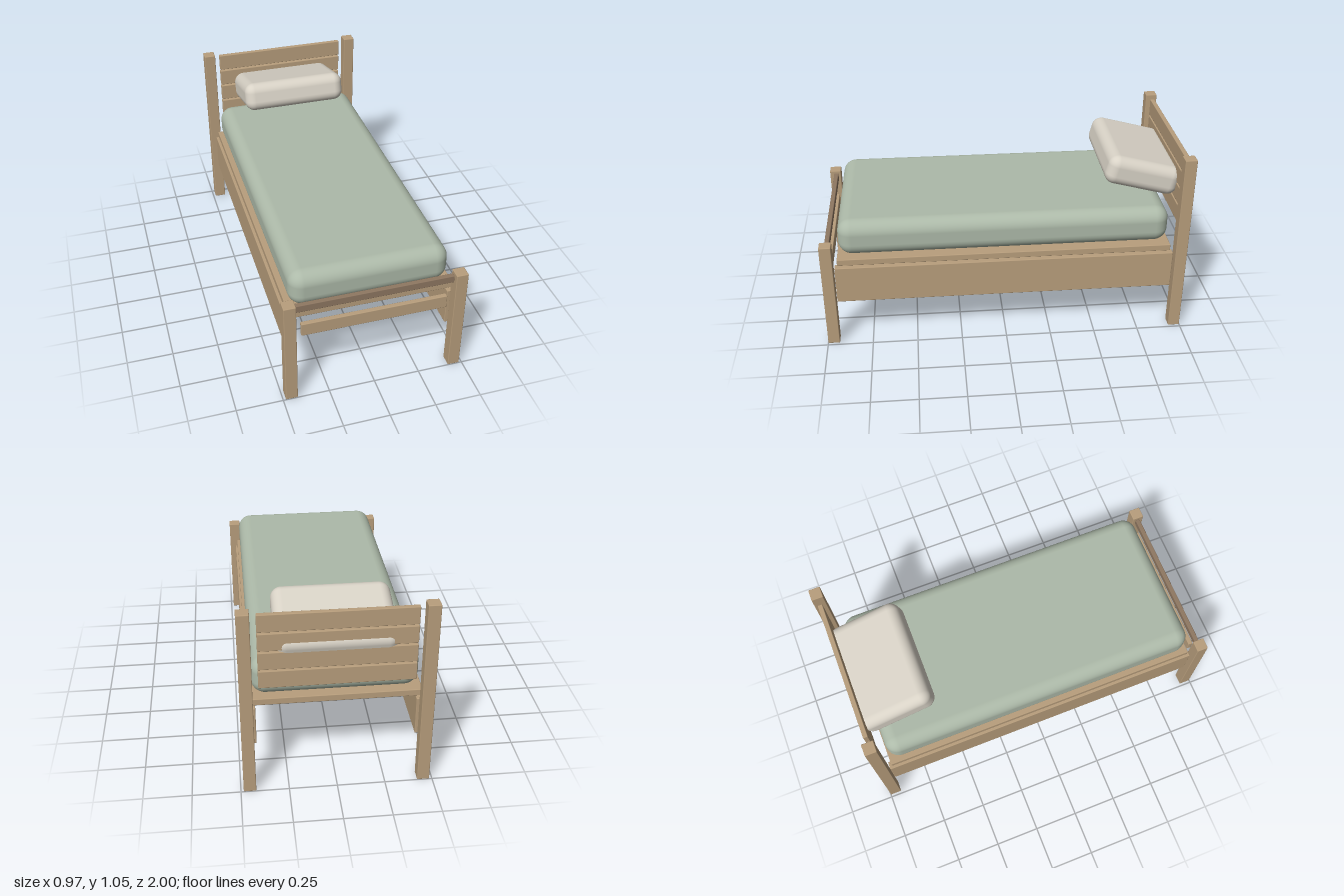
import * as THREE from 'three';
import { RoundedBoxGeometry } from 'three/addons/geometries/RoundedBoxGeometry.js';

const material = (name, color) => {
  const m = new THREE.MeshStandardMaterial({ color });
  m.name = name;
  return m;
};

export function createModel() {
  const bed = new THREE.Group();
  bed.name = 'singleBed';
  const wood = material('lightWood', 0xb99f7d);
  const darkWood = material('darkWood', 0x8f7862);
  const sage = material('sageFabric', 0xadbaa9);
  const linen = material('linen', 0xd9d3c7);

  // Box with eased edges, given by its size and centre
  const block = (name, mat, size, centre, radius = 0.004, segments = 1) => {
    const mesh = new THREE.Mesh(new RoundedBoxGeometry(...size, segments, radius), mat);
    mesh.name = name;
    mesh.position.set(...centre);
    bed.add(mesh);
    return mesh;
  };

  // Posts and side rails, mirrored
  for (const [side, s] of [['left', 1], ['right', -1]]) {
    block(side + 'HeadPost', wood, [0.065, 1.05, 0.065], [s * 0.453, 0.525, -0.967]);
    block(side + 'FootPost', wood, [0.065, 0.62, 0.065], [s * 0.453, 0.31, 0.967]);
    block(side + 'SideRail', wood, [0.045, 0.215, 1.86], [s * 0.43, 0.3615, 0]);
  }

  // Headboard boards
  for (let i = 0; i < 4; i++) {
    block('headboardSlat', wood, [0.78, 0.096, 0.026], [0, 0.987 - i * 0.105, -0.966]);
  }

  // Footboard rails
  block('footTopRail', darkWood, [0.84, 0.042, 0.026], [0, 0.584, 0.962]);
  block('footLowerRail', wood, [0.78, 0.075, 0.026], [0, 0.441, 0.962]);

  // Platform and the slats under it
  block('platform', wood, [0.88, 0.037, 1.83], [0, 0.4965, 0]);
  for (let i = 0; i < 8; i++) {
    block('baseSlat', darkWood, [0.82, 0.025, 0.09], [0, 0.4655, (i - 3.5) * 0.217]);
  }

  // Mattress and tilted pillow
  block('mattress', sage, [0.85, 0.207, 1.81], [0, 0.618, 0], 0.075, 5);
  const pillow = block('pillow', linen, [0.61, 0.168, 0.42], [0, 0.862, -0.773], 0.057, 5);
  pillow.rotation.x = -0.26;

  return bed;
}
